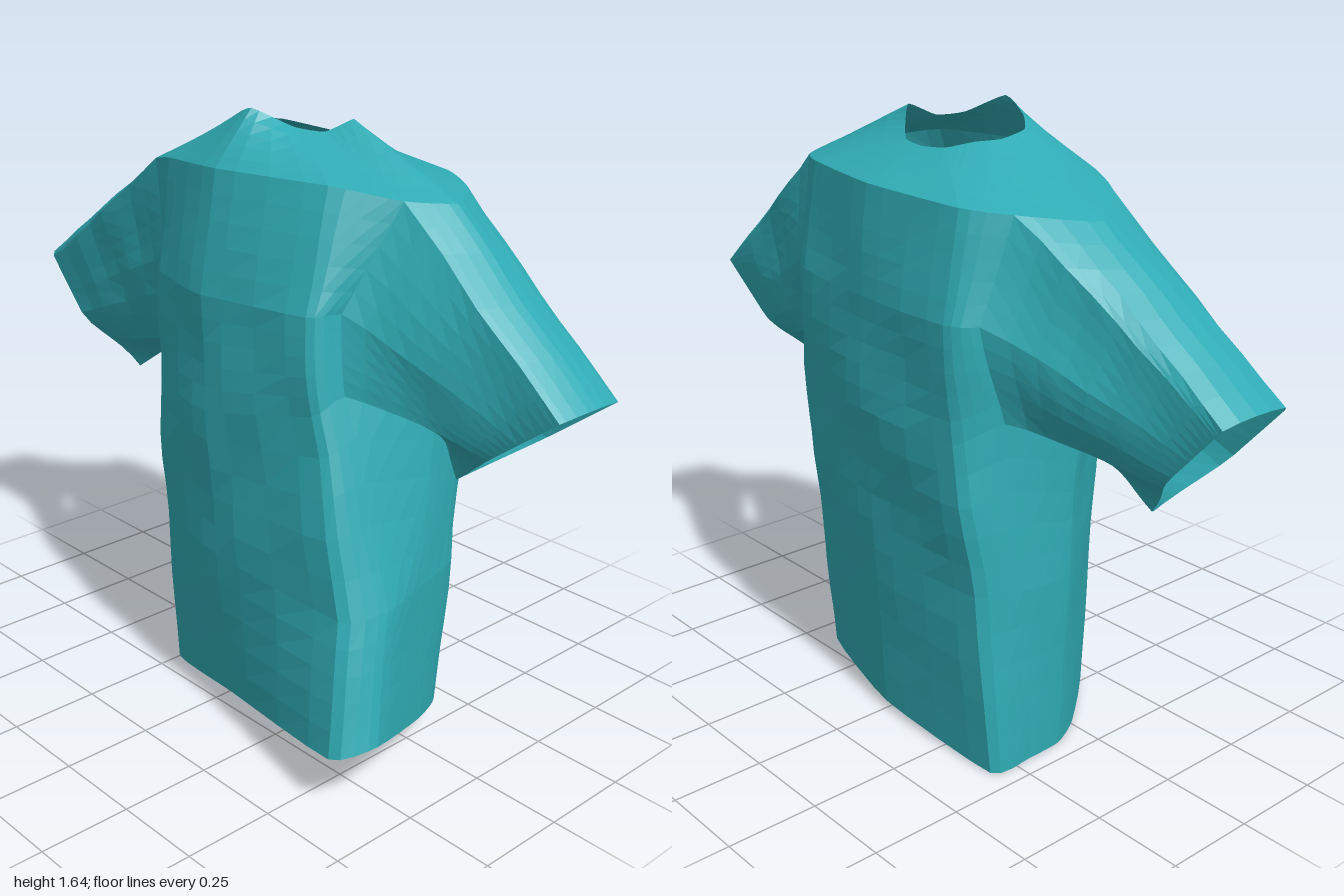
import * as THREE from 'three';

const STEPS = 4;   // columns between two control points
const ROWS = 5;    // rows between two cross-sections

// Cross-sections run from the left side over the front, right side and back.
const hem = [[.56, .1, .02], [.665, .18, .285], [.6, .16, .39], [.1, .08, .28], [-.22, .025, .205], [-.39, .005, .01],
  [-.44, .002, -.09], [-.445, .002, -.2], [-.43, .003, -.325], [0, .025, -.33], [.34, .05, -.25], [.495, .075, -.11]];
const waist = [[.57, .5, .05], [.605, .5, .2], [.55, .49, .315], [.08, .5, .305], [-.22, .5, .235], [-.39, .5, .03],
  [-.455, .5, -.08], [-.45, .5, -.2], [-.395, .5, -.35], [0, .5, -.355], [.34, .5, -.29], [.52, .5, -.13]];
const armpit = [[.52, .96, -.05], [.45, 1.02, .2], [.42, .98, .285], [.05, .9, .31], [-.24, .9, .235], [-.37, .94, .07],
  [-.47, .89, -.07], [-.42, .95, -.28], [-.35, .9, -.385], [0, .9, -.385], [.33, .9, -.33], [.46, .97, -.225]];
const chest = [[.5, 1.2, -.05], [.43, 1.22, .2], [.39, 1.22, .28], [.03, 1.2, .3], [-.22, 1.2, .235], [-.32, 1.2, .14],
  [-.48, 1.2, -.05], [-.4, 1.2, -.335], [-.33, 1.2, -.39], [0, 1.2, -.385], [.31, 1.2, -.335], [.42, 1.2, -.26]];
const yoke = [[.56, 1.47, -.05], [.49, 1.48, .06], [.35, 1.51, .17], [.02, 1.51, .24], [-.24, 1.49, .18], [-.38, 1.46, .115],
  [-.52, 1.43, -.06], [-.42, 1.455, -.25], [-.33, 1.47, -.34], [0, 1.48, -.355], [.32, 1.48, -.28], [.46, 1.47, -.2]];
const neck = [[.2, 1.62, -.06], [.16, 1.59, 0], [.1, 1.6, .05], [.02, 1.645, .12], [-.08, 1.61, .09], [-.14, 1.585, .04],
  [-.165, 1.575, -.06], [-.13, 1.57, -.12], [-.08, 1.555, -.17], [0, 1.55, -.18], [.08, 1.555, -.165], [.14, 1.58, -.12]];

// Closed ring through the control points, slightly rounded at each corner
function roundedRing(points) {
  const curve = new THREE.CatmullRomCurve3(points.map(p => new THREE.Vector3(...p)), true, 'catmullrom', .25);
  const n = points.length * STEPS;
  return Array.from({ length: n }, (_, i) => curve.getPoint(i / n));
}

// Skin between closed rings, leaving out the cells where skip(row, column) holds
function skin(rings, skip = () => false) {
  const n = rings[0].length, index = [];
  for (let r = 0; r < rings.length - 1; r++) {
    for (let c = 0; c < n; c++) {
      if (skip(r, c)) continue;
      const d = (c + 1) % n;
      const a = r * n + c, b = r * n + d, e = a + n, f = b + n;
      index.push(a, e, b, b, e, f);
    }
  }
  const geometry = new THREE.BufferGeometry().setFromPoints(rings.flat());
  geometry.setIndex(index);
  geometry.computeVertexNormals();
  return geometry;
}

// Shallow diagonal cloth folds
function wrinkle(p, amount) {
  const { x, y, z } = p;
  p.z += amount * (Math.sin(9 * x - 14 * y + 3 * z) + .6 * Math.sin(21 * x + 17 * y));
  p.x += amount * .5 * Math.sin(13 * y + 11 * z);
  return p;
}

export function createModel() {
  const group = new THREE.Group();
  group.name = 'tShirt';
  const cloth = new THREE.MeshStandardMaterial({ color: 0x30abb4, flatShading: true, side: THREE.DoubleSide });
  cloth.name = 'teal cloth';
  const add = (name, geometry) => {
    const mesh = new THREE.Mesh(geometry, cloth);
    mesh.name = name;
    group.add(mesh);
  };

  // Body rings, with folds fading out at the hem and the yoke
  const sections = [hem, waist, armpit, chest, yoke, neck].map(roundedRing);
  const rings = [];
  for (let s = 0; s < sections.length - 1; s++) {
    for (let k = 0; k < ROWS; k++) {
      rings.push(sections[s].map((p, i) => p.clone().lerp(sections[s + 1][i], k / ROWS)));
    }
  }
  rings.push(sections.at(-1));
  const yokeRow = 4 * ROWS, armpitRow = 2 * ROWS;
  rings.forEach((ring, r) => {
    if (r < yokeRow) ring.forEach(p => wrinkle(p, .005 * Math.sin(Math.PI * r / yokeRow)));
  });

  // Armholes span two control cells on each side
  const columns = rings[0].length;
  const holeCentres = [0, columns / 2];
  const inHole = (r, c) => r >= armpitRow && r < yokeRow &&
    holeCentres.some(h => (c - h + STEPS + columns) % columns < 2 * STEPS);
  add('body', skin(rings.slice(0, yokeRow + 1), inHole));
  add('shoulderYoke', skin(rings.slice(yokeRow)));

  // Sleeves run from the armhole rim to a slanted open cuff
  const cuffs = [
    { name: 'leftSleeve', hole: 0, top: [1, 1.08], bottom: [.6, .78] },
    { name: 'rightSleeve', hole: columns / 2, top: [-1, 1.08], bottom: [-.69, .74] },
  ];
  for (const { name, hole, top, bottom } of cuffs) {
    const at = (r, c) => rings[r][(hole + c + columns) % columns];
    const rim = [];
    for (let c = -STEPS; c < STEPS; c++) rim.push(at(armpitRow, c));
    for (let r = armpitRow; r < yokeRow; r++) rim.push(at(r, STEPS));
    for (let c = STEPS; c > -STEPS; c--) rim.push(at(yokeRow, c));
    for (let r = yokeRow; r > armpitRow; r--) rim.push(at(r, -STEPS));

    // The cuff is wide and blunt at the top and pinches to a narrow fold below
    const cuff = rim.map(p => {
      const a = Math.atan2((p.y - 1.2) / .3, (p.z + .05) / .2);
      const t = Math.pow((Math.sin(a) + 1) / 2, .6);
      const width = .025 + .085 * THREE.MathUtils.smoothstep(t, .1, .5);
      return new THREE.Vector3(
        THREE.MathUtils.lerp(bottom[0], top[0], t),
        THREE.MathUtils.lerp(bottom[1], top[1], t),
        -.042 + width * THREE.MathUtils.clamp(2 * Math.cos(a), -1, 1));
    });
    // Depth narrows quickly near the body, then evenly towards the cuff
    const sleeve = [];
    const count = 8;
    for (let k = 0; k <= count; k++) {
      const t = k / count;
      sleeve.push(rim.map((p, i) => {
        const q = p.clone().lerp(cuff[i], t);
        q.z = THREE.MathUtils.lerp(p.z, cuff[i].z, Math.pow(t, .75));
        return wrinkle(q, .006 * Math.sin(Math.PI * t));
      }));
    }
    add(name, skin(sleeve));
  }
  return group;
}
